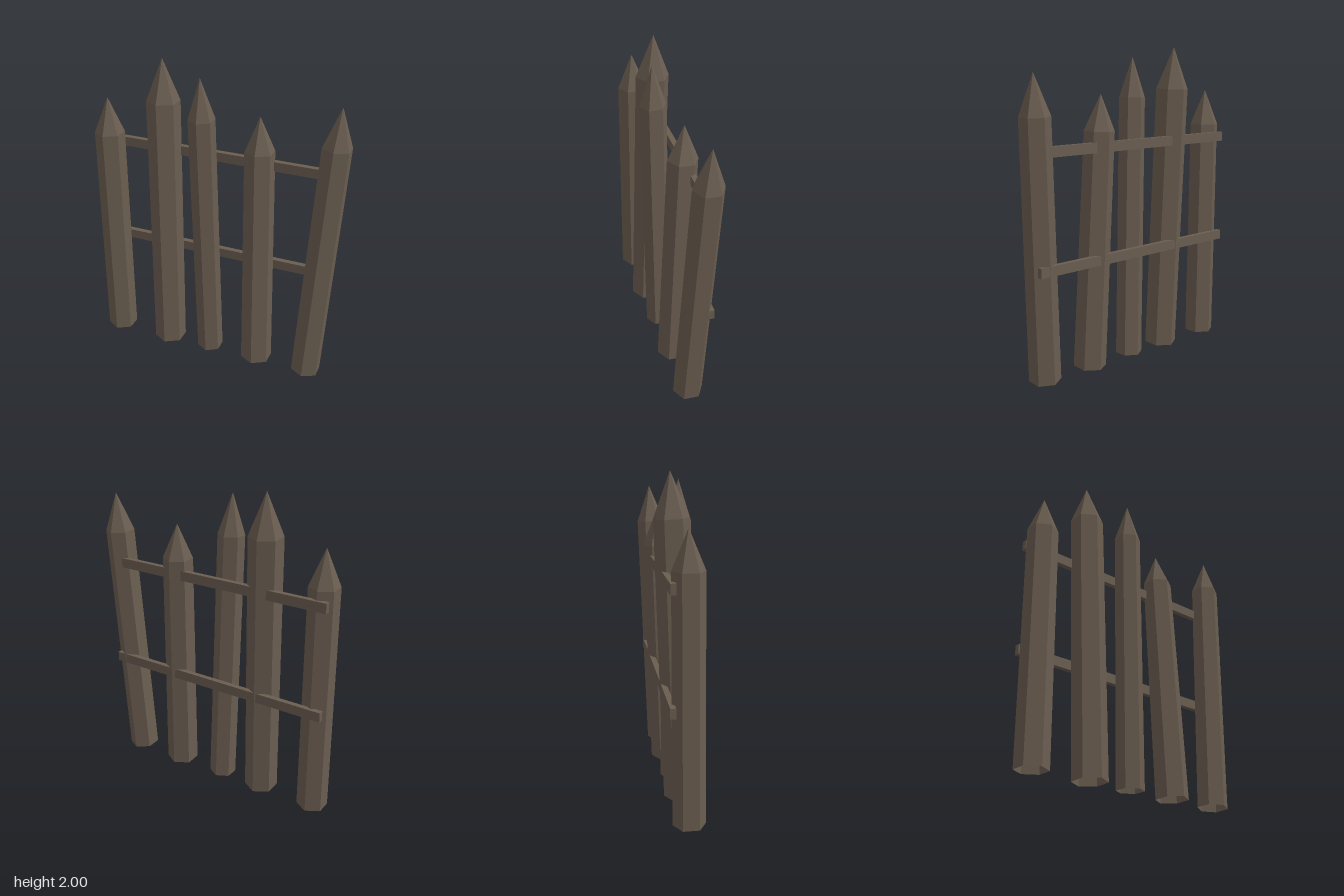
import * as THREE from 'three';

const wood = new THREE.MeshStandardMaterial({
  name: 'weathered wood', color: 0x6a5d50, flatShading: true, side: THREE.DoubleSide,
});

// Six-sided pointed stake, open underneath, leaning from its base to its tip
function makeStake(name, base, tip, shoulderY, rBottom, rTop) {
  const from = new THREE.Vector3(...base);
  const axis = new THREE.Vector3(...tip).sub(from);
  const length = axis.length();
  const shoulder = length * (shoulderY - base[1]) / (tip[1] - base[1]);
  const profile = [[rBottom, 0], [rTop, shoulder], [0, length]].map(p => new THREE.Vector2(...p));
  const stake = new THREE.Mesh(new THREE.LatheGeometry(profile, 6), wood);
  stake.name = name;
  stake.position.copy(from);
  stake.quaternion.setFromUnitVectors(new THREE.Vector3(0, 1, 0), axis.normalize());
  return stake;
}

export function createModel() {
  const fence = new THREE.Group();
  fence.name = 'stakeFence';

  // Stakes: base, tip, shoulder height, bottom and top radius
  const stakes = [
    [[-0.725, 0.008, 0.02], [-0.732, 1.72, 0.005], 1.49, 0.098, 0.095],
    [[-0.34, 0.008, 0.027], [-0.37, 2.0, -0.047], 1.735, 0.106, 0.106],
    [[-0.038, 0.008, 0.02], [-0.088, 1.94, 0.04], 1.685, 0.086, 0.084],
    [[0.3, 0.008, 0.017], [0.256, 1.72, -0.054], 1.5, 0.104, 0.095],
    [[0.65, 0.008, 0.02], [0.742, 1.85, -0.05], 1.605, 0.098, 0.093],
  ];
  stakes.forEach((s, i) => fence.add(makeStake(`stake${i + 1}`, ...s)));

  // Two cross rails along the back
  for (const [name, y] of [['lowerRail', 0.714], ['upperRail', 1.405]]) {
    const rail = new THREE.Mesh(new THREE.BoxGeometry(1.55, 0.062, 0.034), wood);
    rail.name = name;
    rail.position.set(-0.025, y, -0.084);
    fence.add(rail);
  }
  return fence;
}
